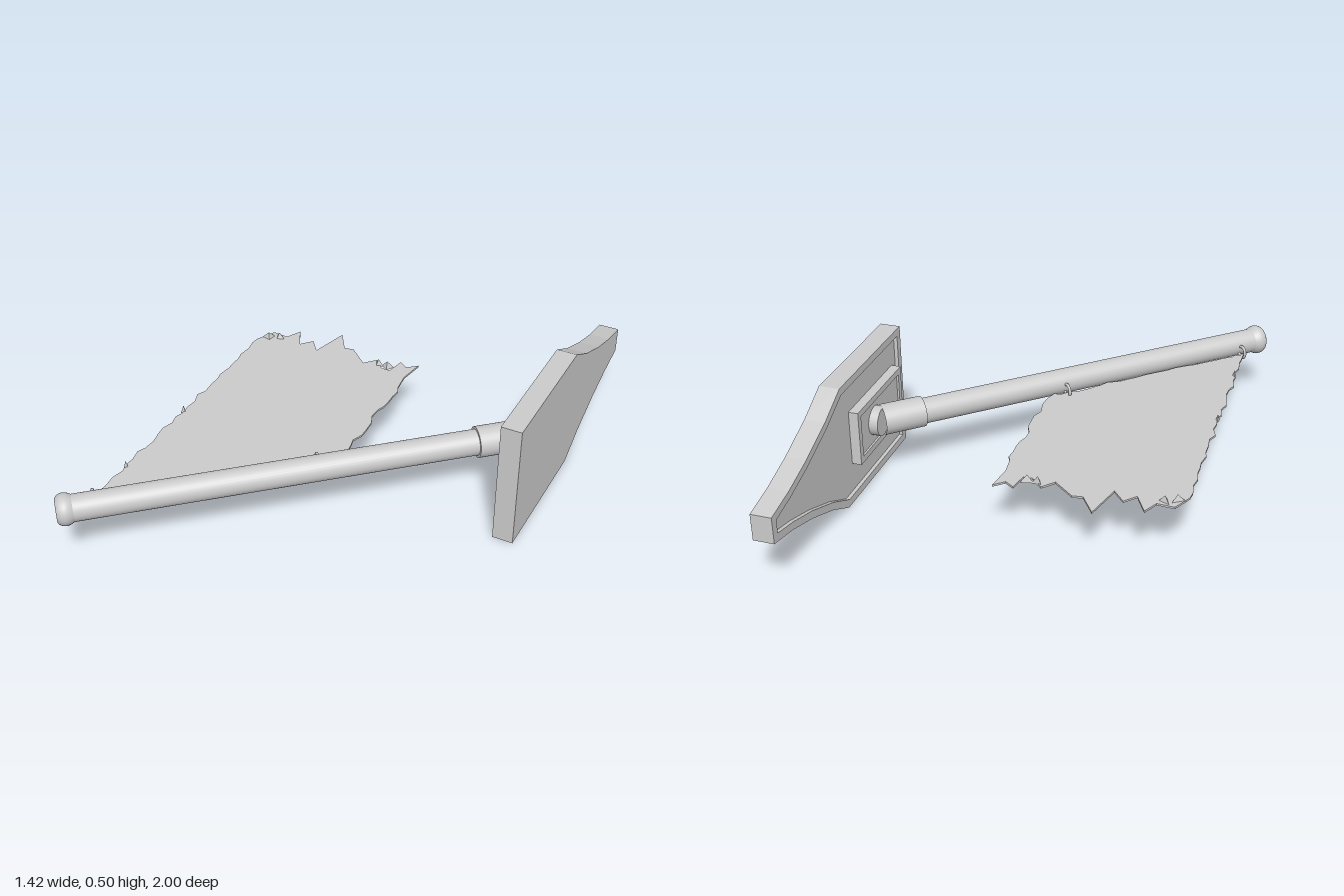
import * as THREE from 'three';

const mat = new THREE.MeshStandardMaterial({ color: 0xcccccc });
const flat = new THREE.MeshStandardMaterial({ color: 0xcccccc, flatShading: true, side: THREE.DoubleSide });
const MID = 0.252;

// outline given as [z, y], extruded from x0 to x1, with an optional hole
function slab(name, pts, x0, x1, hole) {
  const toV = ([z, y]) => new THREE.Vector2(-z, y);
  const shape = new THREE.Shape(pts.map(toV));
  if (hole) shape.holes.push(new THREE.Path(hole.map(toV)));
  const geo = new THREE.ExtrudeGeometry(shape, { depth: x1 - x0, bevelEnabled: false });
  geo.rotateY(Math.PI / 2).translate(x0, 0, 0);
  const mesh = new THREE.Mesh(geo, flat);
  mesh.name = name;
  return mesh;
}

// [z, half height] list mirrored about the plate's middle line
const mirrored = (half) => [
  ...half.map(([z, h]) => [z, MID + h]),
  ...half.slice().reverse().map(([z, h]) => [z, MID - h]),
];

function wallPlate() {
  const g = new THREE.Group();
  g.name = 'wallPlate';
  const outer = mirrored([[0.115, 0.252], [-0.44, 0.252], [-0.57, 0.183], [-0.73, 0.12], [-0.87, 0.078], [-1, 0.052]]);
  const inner = mirrored([[0.085, 0.222], [-0.43, 0.222], [-0.56, 0.155], [-0.72, 0.092], [-0.86, 0.05], [-0.97, 0.026]]);
  g.add(slab('plateBoard', outer, 0.64, 0.705));
  g.add(slab('plateRim', outer, 0.625, 0.64, inner));
  g.add(slab('mountBlock', mirrored([[0.05, 0.11], [-0.355, 0.11]]), 0.61, 0.645));
  g.add(slab('mountRim', mirrored([[0.05, 0.11], [-0.355, 0.11]]), 0.602, 0.61,
    mirrored([[0.025, 0.085], [-0.33, 0.085]])));
  return g;
}

// pole assembly is built along local +y, from the knob end to the wall end
const START = new THREE.Vector3(-0.683, MID, 0.963);
const END = new THREE.Vector3(0.585, MID, -0.19);
const DIR = END.clone().sub(START).normalize();
const LENGTH = START.distanceTo(END);
const SIDE = new THREE.Vector3(DIR.z, 0, -DIR.x); // from the pole towards the cloth

function pole() {
  const g = new THREE.Group();
  g.name = 'pole';
  const turned = (name, pts) => {
    const mesh = new THREE.Mesh(new THREE.LatheGeometry(pts.map(([r, y]) => new THREE.Vector2(r, y)), 32), mat);
    mesh.name = name;
    g.add(mesh);
  };
  turned('shaft', [[0.05, 0.04], [0.05, LENGTH - 0.01]]);
  turned('endKnob', [[0, 0], [0.042, 0], [0.042, 0], [0.052, 0.007], [0.058, 0.018], [0.06, 0.03],
    [0.058, 0.042], [0.053, 0.053], [0.049, 0.06]]);
  turned('socket', [[0.049, LENGTH - 0.165], [0.06, LENGTH - 0.165], [0.06, LENGTH - 0.165], [0.06, LENGTH]]);
  g.position.copy(START);
  g.quaternion.setFromUnitVectors(new THREE.Vector3(0, 1, 0), DIR);
  return g;
}

function cloth() {
  const g = new THREE.Group();
  g.name = 'banner';
  let seed = 7;
  const rand = () => ((seed = (seed * 16807) % 2147483647) / 2147483647) - 0.5;
  // frayed straight edge from a to b
  const frayed = (a, b, n, amount) => Array.from({ length: n }, (_, i) => {
    const t = i / n;
    const j = i ? amount : 0;
    return [a[0] + (b[0] - a[0]) * t + rand() * j, a[1] + (b[1] - a[1]) * t + rand() * j];
  });
  const outline = [
    ...frayed([-0.648, -0.35], [-0.632, 0.825], 28, 0.02),
    [-0.632, 0.825], [-0.6, 0.81], [-0.59, 0.785],
    ...frayed([-0.56, 0.77], [-0.02, 0.28], 16, 0.02),
    [-0.02, 0.28], [0, 0.255], [0.03, 0.25],
    ...frayed([0.045, 0.2], [0.035, -0.42], 16, 0.022),
    [0.04, -0.475], [0, -0.44], [-0.035, -0.465], [-0.05, -0.39], [-0.085, -0.39], [-0.13, -0.435],
    [-0.17, -0.39], [-0.25, -0.46], [-0.29, -0.455], [-0.345, -0.54], [-0.385, -0.385],
    [-0.43, -0.44], [-0.47, -0.395], [-0.515, -0.48], [-0.545, -0.42], [-0.61, -0.425],
  ];
  const geo = new THREE.ExtrudeGeometry(new THREE.Shape(outline.map(([x, z]) => new THREE.Vector2(x, z))),
    { depth: 0.008, bevelEnabled: false });
  geo.rotateX(Math.PI / 2).translate(0, 0.23, 0);
  const sheet = new THREE.Mesh(geo, flat);
  sheet.name = 'bannerCloth';
  g.add(sheet);

  // curled scraps along the torn edges: [x, z, width, turn]
  for (const [x, z, w, turn] of [[-0.61, -0.38, 0.07, 0.6], [-0.57, -0.4, 0.06, -0.4], [-0.07, -0.41, 0.06, 0.2],
    [-0.11, -0.41, 0.05, -0.3], [-0.635, 0.23, 0.03, 1.4], [-0.63, 0.62, 0.03, 1.7]]) {
    const scrap = new THREE.Mesh(new THREE.ConeGeometry(w / 2, 0.03, 3, 1, true), flat);
    scrap.name = 'curledScrap';
    scrap.scale.z = 0.6;
    scrap.position.set(x, 0.24, z);
    scrap.rotation.y = turn;
    g.add(scrap);
  }
  return g;
}

// rings tying the cloth to the pole
function tieRings() {
  const g = new THREE.Group();
  g.name = 'tieRings';
  for (const along of [0.135, 0.955]) {
    const ring = new THREE.Mesh(new THREE.TorusGeometry(0.024, 0.006, 8, 16), mat);
    ring.name = 'tieRing';
    ring.position.copy(START).addScaledVector(DIR, along).addScaledVector(SIDE, 0.062);
    ring.position.y -= 0.012;
    ring.quaternion.setFromUnitVectors(new THREE.Vector3(0, 0, 1), DIR);
    g.add(ring);
  }
  return g;
}

export function createModel() {
  const model = new THREE.Group();
  model.name = 'wallBanner';
  model.add(wallPlate(), pole(), cloth(), tieRings());

  // round flange between socket and mounting block
  const flange = new THREE.Mesh(new THREE.CylinderGeometry(0.058, 0.058, 0.037, 24), mat);
  flange.name = 'flange';
  flange.rotation.z = Math.PI / 2;
  flange.position.set(0.593, MID, -0.197);
  model.add(flange);
  return model;
}
